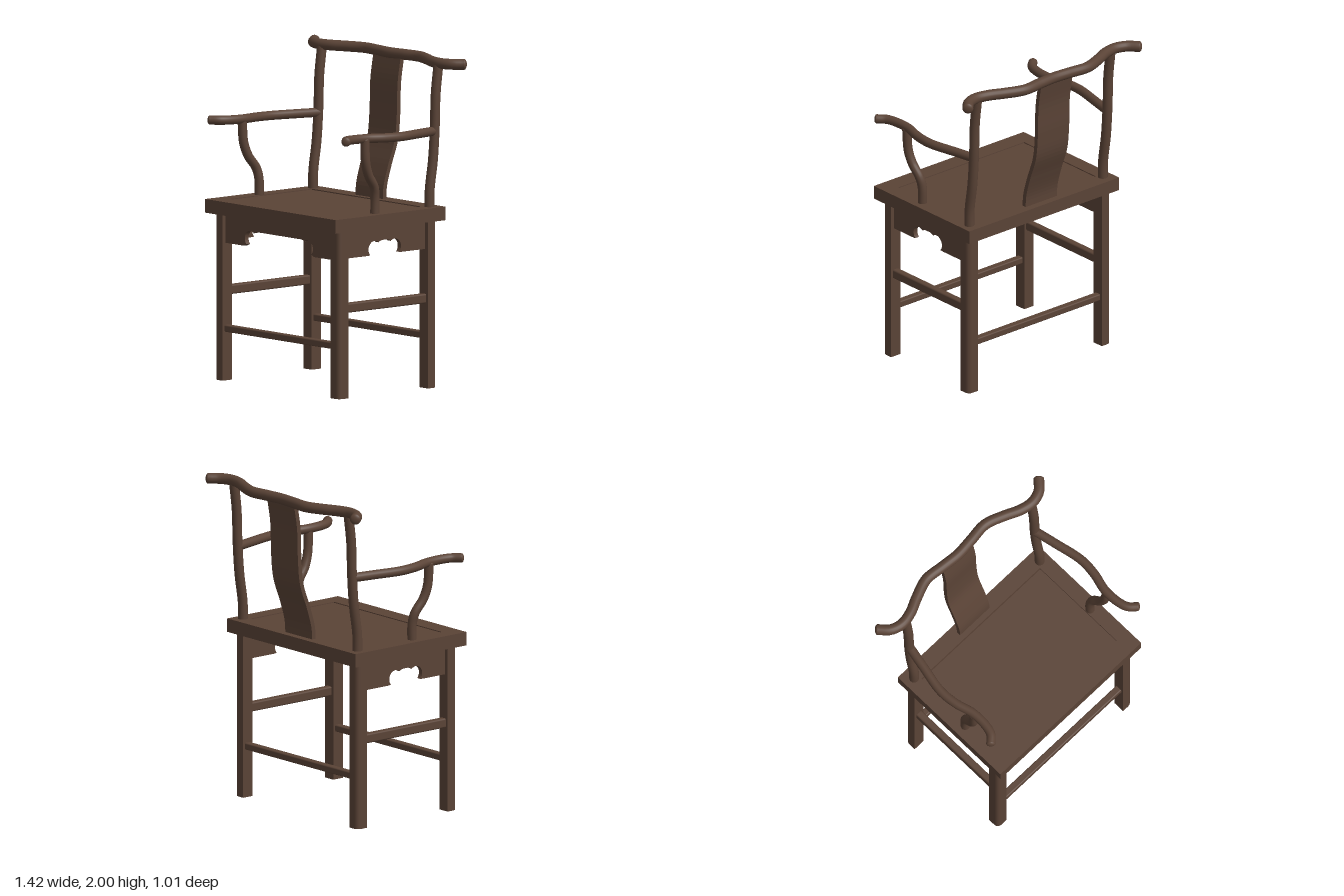
import * as THREE from 'three';
import { RoundedBoxGeometry } from 'three/addons/geometries/RoundedBoxGeometry.js';

const wood = new THREE.MeshStandardMaterial({ color: 0x5a4336 });
wood.name = 'dark wood';

const V = (x, y, z) => new THREE.Vector3(x, y, z);

function add(parent, name, geometry, x = 0, y = 0, z = 0) {
  const mesh = new THREE.Mesh(geometry, wood);
  mesh.name = name;
  mesh.position.set(x, y, z);
  parent.add(mesh);
  return mesh;
}

// Round bar along a smooth path, with softly domed ends
function bar(parent, name, points, radius) {
  const group = new THREE.Group();
  group.name = name;
  const curve = new THREE.CatmullRomCurve3(points);
  add(group, name + 'Shaft', new THREE.TubeGeometry(curve, 64, radius, 18));
  for (const t of [0, 1]) {
    const p = curve.getPoint(t);
    const cap = add(group, name + 'End', new THREE.SphereGeometry(radius, 18, 12), p.x, p.y, p.z);
    cap.scale.z = 0.5;
    cap.lookAt(p.clone().add(curve.getTangent(t)));
  }
  parent.add(group);
}

// Flat outline in x and z, extruded downwards from y = 0
function slab(points, depth) {
  const shape = new THREE.Shape(points.map(([x, z]) => new THREE.Vector2(x, z)));
  const geometry = new THREE.ExtrudeGeometry(shape, { depth, bevelEnabled: false });
  return geometry.rotateX(Math.PI / 2);
}

// Square leg whose outward corner is rounded
function legGeometry(height, sx, sz) {
  const h = 0.0375, r = 0.035;
  const shape = new THREE.Shape();
  shape.moveTo(-h * sx, -h * sz);
  shape.lineTo(h * sx, -h * sz);
  shape.lineTo(h * sx, (h - r) * sz);
  shape.quadraticCurveTo(h * sx, h * sz, (h - r) * sx, h * sz);
  shape.lineTo(-h * sx, h * sz);
  shape.closePath();
  return new THREE.ExtrudeGeometry(shape, { depth: height, bevelEnabled: false, curveSegments: 8 }).rotateX(Math.PI / 2);
}

// Apron board with a scalloped opening: a round lobe at each end
function apronGeometry(half, lobe, bottom, middle) {
  const top = 1.02, r = 0.05, cy = 0.885, deg = Math.PI / 180;
  const shape = new THREE.Shape();
  shape.moveTo(-half, top);
  shape.lineTo(-half, bottom);
  shape.lineTo(-lobe - 0.06, bottom);
  shape.absarc(-lobe, cy, r, 225 * deg, 50 * deg, true);
  shape.quadraticCurveTo(-lobe + 0.045, middle, -lobe + 0.065, middle);
  shape.lineTo(lobe - 0.065, middle);
  shape.quadraticCurveTo(lobe - 0.045, middle, lobe - 0.032, cy + 0.038);
  shape.absarc(lobe, cy, r, 130 * deg, -45 * deg, true);
  shape.lineTo(lobe + 0.06, bottom);
  shape.lineTo(half, bottom);
  shape.lineTo(half, top);
  shape.closePath();
  return new THREE.ExtrudeGeometry(shape, { depth: 0.03, bevelEnabled: false, curveSegments: 20 }).translate(0, 0, -0.015);
}

// Bent back board, swept sideways from its side profile
function splatGeometry() {
  const spine = new THREE.CatmullRomCurve3([
    V(0, 1.05, -0.312), V(0, 1.17, -0.318), V(0, 1.3, -0.355), V(0, 1.45, -0.408),
    V(0, 1.6, -0.425), V(0, 1.8, -0.432), V(0, 1.96, -0.458),
  ]).getPoints(32);
  const outline = [
    ...spine.map((p) => new THREE.Vector2(-p.z + 0.014, p.y)),
    ...spine.reverse().map((p) => new THREE.Vector2(-p.z - 0.014, p.y)),
  ];
  const geometry = new THREE.ExtrudeGeometry(new THREE.Shape(outline), { depth: 0.25, bevelEnabled: false });
  return geometry.translate(0, 0, -0.125).rotateY(Math.PI / 2);
}

export function createModel() {
  const chair = new THREE.Group();
  chair.name = 'armchair';
  const cx = 0.006;
  const legX = 0.532, frontZ = 0.417, backZ = -0.295, midZ = 0.061;

  // Seat: four mitred frame rails around a slightly sunken panel
  const seat = new THREE.Group();
  seat.name = 'seat';
  seat.position.x = cx;
  chair.add(seat);
  const [ox, of, ob] = [0.598, 0.505, -0.372];
  const [ix, inf, inb] = [0.503, 0.392, -0.266];
  const outer = [[-ox, ob], [ox, ob], [ox, of], [-ox, of]];
  const inner = [[-ix, inb], [ix, inb], [ix, inf], [-ix, inf]];
  ['seatBackRail', 'seatLeftRail', 'seatFrontRail', 'seatRightRail'].forEach((name, i) => {
    const j = (i + 1) % 4;
    add(seat, name, slab([outer[i], outer[j], inner[j], inner[i]], 0.083), 0, 1.1, 0);
  });
  const px = ix - 0.001;
  add(seat, 'seatPanel', slab([[-px, inb + 0.006], [px, inb + 0.006], [px, inf - 0.001], [-px, inf - 0.001]], 0.035), 0, 1.095, 0);

  // Legs
  for (const s of [-1, 1]) {
    add(chair, 'frontLeg', legGeometry(1.02, s, 1), cx + s * legX, 1.02, frontZ);
    add(chair, 'backLeg', legGeometry(1.02, s, -1), cx + s * legX, 1.02, backZ);
  }

  // Stretchers
  const railLength = 2 * legX - 0.06, sideLength = frontZ - backZ - 0.06;
  add(chair, 'frontStretcher', new RoundedBoxGeometry(railLength, 0.042, 0.045, 2, 0.008), cx, 0.317, frontZ);
  add(chair, 'backStretcher', new RoundedBoxGeometry(railLength, 0.042, 0.045, 2, 0.008), cx, 0.317, backZ);

  // Aprons on the front and both sides
  add(chair, 'frontApron', apronGeometry(0.497, 0.262, 0.838, 0.933), 0, 0, frontZ);
  for (const s of [-1, 1]) {
    add(chair, 'sideStretcher', new RoundedBoxGeometry(0.045, 0.058, sideLength, 2, 0.01), cx + s * legX, 0.546, midZ);
    const apron = add(chair, 'sideApron', apronGeometry(0.322, 0.08, 0.848, 0.935), cx + s * legX, 0, 0.068);
    apron.rotation.y = Math.PI / 2;
  }

  // Back posts, arms and arm supports
  for (const s of [-1, 1]) {
    const at = (x, y, z) => V(0.008 + s * x, y, z);
    bar(chair, 'backPost', [
      at(0.533, 1.05, -0.3), at(0.533, 1.2, -0.302), at(0.533, 1.38, -0.328),
      at(0.533, 1.58, -0.343), at(0.533, 1.78, -0.35), at(0.533, 1.96, -0.372),
    ], 0.03);
    bar(chair, 'armRest', [
      at(0.53, 1.556, -0.34), at(0.56, 1.558, -0.2), at(0.597, 1.56, -0.01), at(0.589, 1.563, 0.11),
      at(0.56, 1.567, 0.23), at(0.562, 1.57, 0.34), at(0.582, 1.572, 0.405), at(0.624, 1.573, 0.447),
    ], 0.028);
    bar(chair, 'armSupport', [
      at(0.53, 1.05, 0.135), at(0.531, 1.2, 0.135), at(0.54, 1.265, 0.15), at(0.55, 1.34, 0.203),
      at(0.558, 1.42, 0.232), at(0.562, 1.56, 0.242),
    ], 0.028);
  }

  // Back splat and crest rail
  add(chair, 'backSplat', splatGeometry(), -0.01, 0, 0);
  const crest = [[0.685, -0.452], [0.63, -0.396], [0.555, -0.373], [0.47, -0.388], [0.37, -0.432], [0.25, -0.473], [0.12, -0.462]];
  bar(chair, 'crestRail', [
    ...crest.map(([x, z]) => V(-x, 1.967, z)),
    V(0, 1.966, -0.452),
    ...crest.slice().reverse().map(([x, z]) => V(x, 1.967, z)),
  ], 0.033);

  return chair;
}
